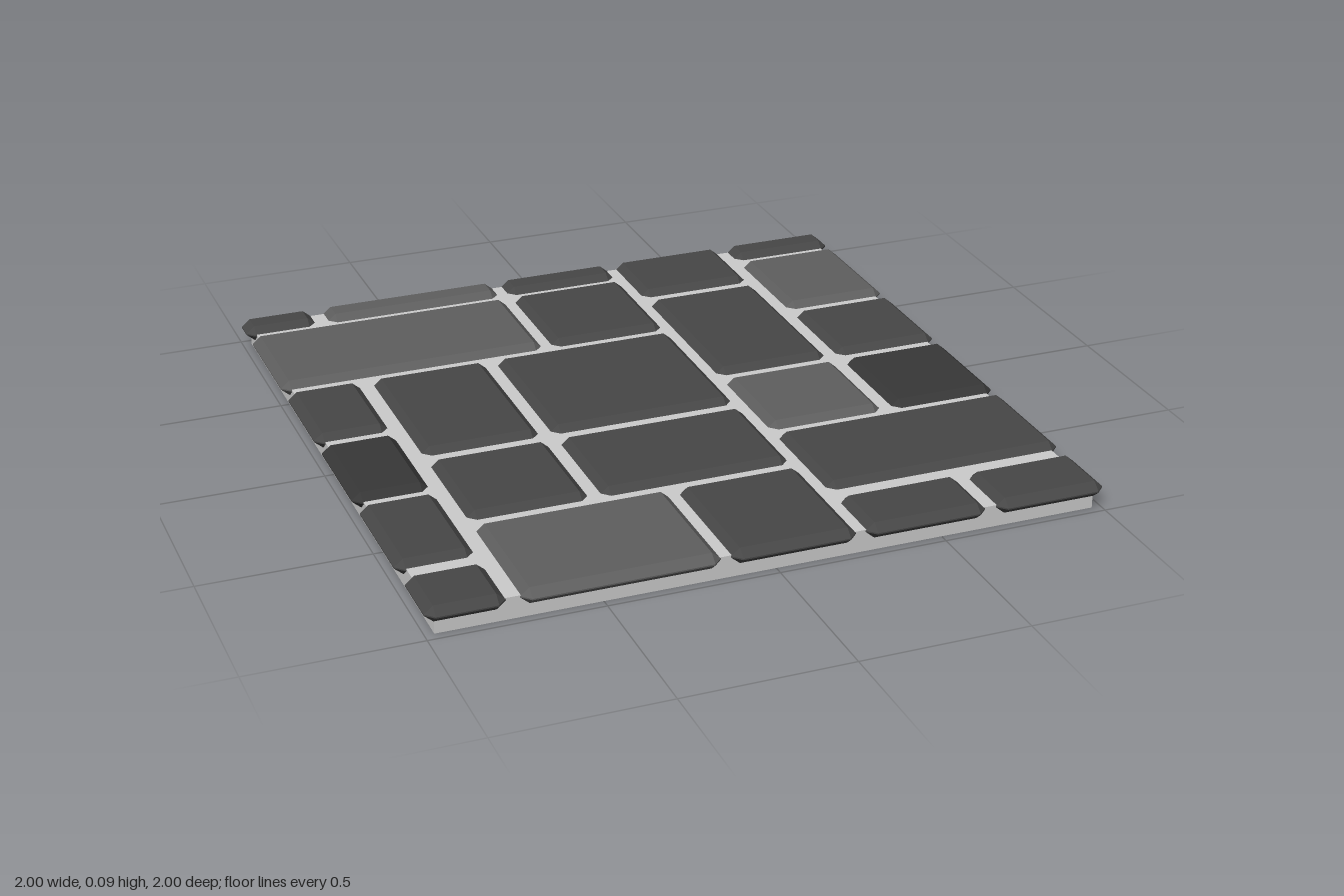
import * as THREE from 'three';
import { ConvexGeometry } from 'three/addons/geometries/ConvexGeometry.js';

const BOTTOM = 0.038, TOP = 0.086;
const BEVEL = 0.026, BEVEL_Y = 0.022;

// Block with every edge chamfered and every corner cut
function chamferedBlock(w, h, d) {
  const points = [];
  for (const sx of [-1, 1]) for (const sy of [-1, 1]) for (const sz of [-1, 1]) {
    const x = w / 2, y = h / 2, z = d / 2;
    const xi = x - BEVEL, yi = y - BEVEL_Y, zi = z - BEVEL;
    for (const [px, py, pz] of [[x, yi, zi], [xi, y, zi], [xi, yi, z]]) {
      points.push(new THREE.Vector3(sx * px, sy * py, sz * pz));
    }
  }
  return new ConvexGeometry(points);
}

export function createModel() {
  const model = new THREE.Group();
  model.name = 'pavingTile';

  const stone = (color) => new THREE.MeshStandardMaterial({ color, flatShading: true });
  const light = stone(0x5e5e5e), mid = stone(0x464646), dark = stone(0x373737);

  // Mortar bed
  const bed = new THREE.Mesh(
    new THREE.BoxGeometry(1.945, 0.066, 1.945),
    new THREE.MeshStandardMaterial({ color: 0xcccccc })
  );
  bed.name = 'mortarBed';
  bed.position.y = 0.033;
  model.add(bed);

  // Paving stones: x from, x to, z from, z to, shade
  const stones = [
    // left column
    [-1, -0.775, -1, -0.89, mid],
    [-1, -0.165, -0.86, -0.46, light],
    [-1, -0.775, -0.425, -0.08, mid],
    [-1, -0.775, -0.045, 0.32, dark],
    [-1, -0.775, 0.35, 0.73, mid],
    [-1, -0.775, 0.78, 1, mid],
    // middle columns
    [-0.735, -0.165, -1, -0.89, light],
    [-0.135, 0.235, -1, -0.89, mid],
    [-0.135, 0.235, -0.86, -0.46, mid],
    [-0.735, -0.375, -0.425, 0.115, mid],
    [-0.34, 0.235, -0.425, 0.115, mid],
    [-0.735, -0.375, 0.155, 0.535, mid],
    [-0.34, 0.235, 0.155, 0.535, mid],
    [-0.735, -0.165, 0.57, 1, light],
    [-0.135, 0.235, 0.57, 1, mid],
    // inner right column
    [0.265, 0.63, -1, -0.715, mid],
    [0.265, 0.63, -0.675, -0.08, mid],
    [0.265, 0.63, -0.045, 0.32, light],
    [0.265, 1, 0.35, 0.73, mid],
    [0.265, 0.63, 0.78, 1, mid],
    // outer right column
    [0.665, 1, -1, -0.89, mid],
    [0.665, 1, -0.86, -0.46, light],
    [0.665, 1, -0.425, -0.08, mid],
    [0.665, 1, -0.045, 0.32, dark],
    [0.665, 1, 0.78, 1, mid],
  ];
  stones.forEach(([x0, x1, z0, z1, material], i) => {
    const mesh = new THREE.Mesh(chamferedBlock(x1 - x0, TOP - BOTTOM, z1 - z0), material);
    mesh.name = `pavingStone${i + 1}`;
    mesh.position.set((x0 + x1) / 2, (BOTTOM + TOP) / 2, (z0 + z1) / 2);
    model.add(mesh);
  });

  return model;
}
